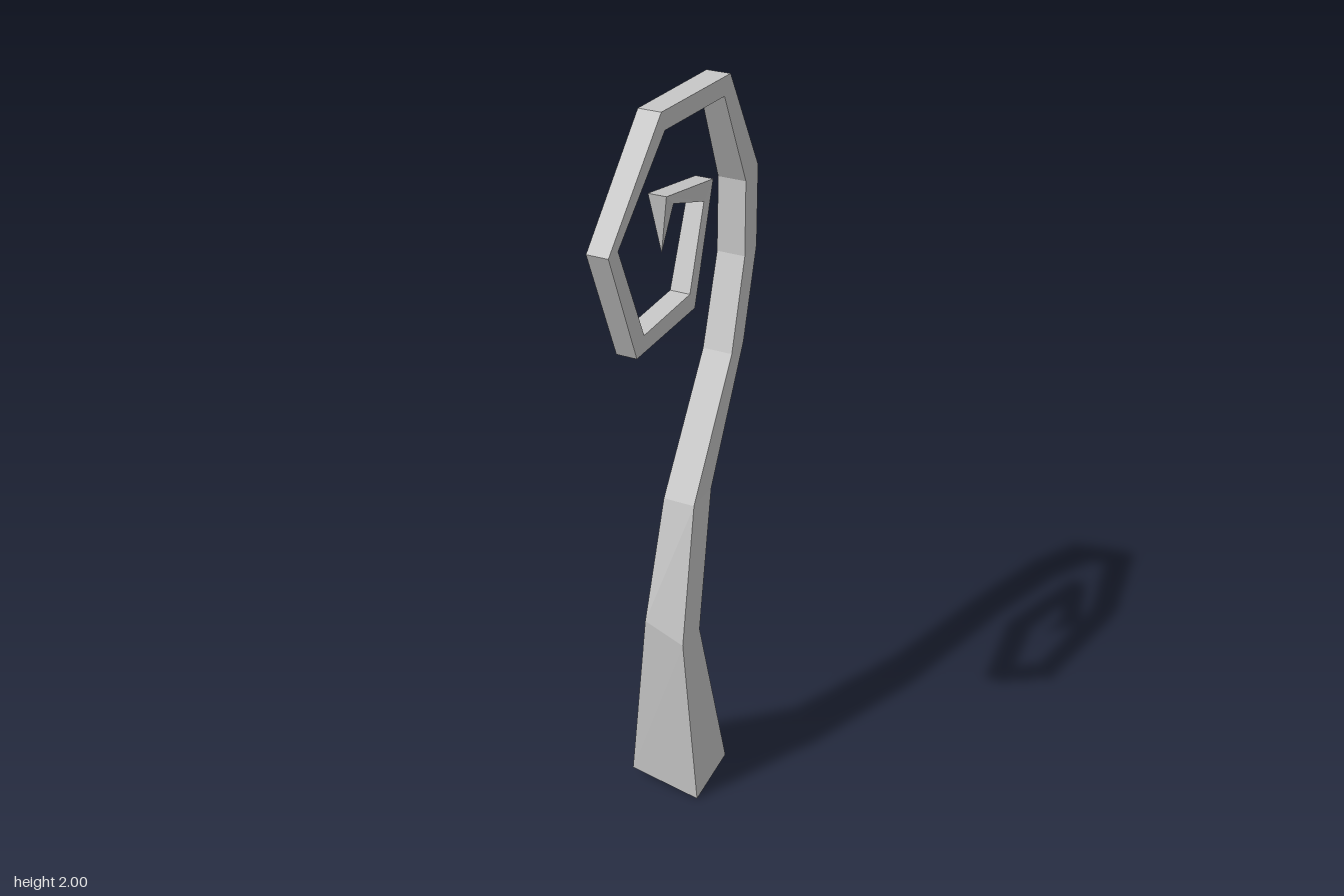
import * as THREE from 'three';

// Cross-sections from base to curl, lying in one tilted upright plane:
// [inner u, inner y, outer u, outer y, near side w, far side w, far side lift]
const RINGS = [
  [0.058, 0.0, -0.135, 0.0, 0.077, -0.12, 0.025],
  [0.080, 0.55, -0.024, 0.53, 0.043, -0.064, 0.03],
  [-0.006, 0.93, -0.110, 0.92, 0.033, -0.05, 0],
  [-0.225, 1.25, -0.298, 1.25, 0.033, -0.045, 0],
  [-0.305, 1.48, -0.378, 1.48, 0.028, -0.046, 0],
  [-0.305, 1.675, -0.378, 1.69, 0.026, -0.046, 0],
  [-0.180, 1.925, -0.212, 1.967, 0.022, -0.037, 0],
  [0.125, 1.955, 0.142, 2.0, 0.022, -0.032, 0],
  [0.345, 1.775, 0.388, 1.777, 0.021, -0.03, 0],
  [0.230, 1.525, 0.267, 1.485, 0.02, -0.03, 0],
  [-0.005, 1.515, -0.033, 1.467, 0.02, -0.03, 0],
  [-0.087, 1.71, -0.137, 1.745, 0.016, -0.028, 0],
  [0.085, 1.775, 0.120, 1.805, 0.022, -0.022, 0],
];
const TIP = [0.1, 1.66, 0];

// Plane coordinates (u along the curl, w across it) to model space
const place = (u, y, w) => [-0.43 * u + 0.9 * w, y, 0.9 * u + 0.43 * w];

function tendrilGeometry() {
  const rings = RINGS.map(([iu, iy, ou, oy, near, far, lift]) => [
    place(iu, iy, near),
    place(ou, oy, near),
    place(ou, oy + lift * 0.5, far),
    place(iu, iy + lift * 1.5, far),
  ]);
  const tip = place(...TIP);
  const positions = [];
  const tri = (a, b, c) => positions.push(...a, ...b, ...c);

  // Base cap
  const [a, b, c, d] = rings[0];
  tri(a, d, c);
  tri(a, c, b);

  // Four-sided walls
  for (let i = 0; i < rings.length - 1; i++) {
    const lo = rings[i], hi = rings[i + 1];
    for (let k = 0; k < 4; k++) {
      const n = (k + 1) % 4;
      tri(lo[k], lo[n], hi[n]);
      tri(lo[k], hi[n], hi[k]);
    }
  }

  // Pointed end
  const last = rings[rings.length - 1];
  for (let k = 0; k < 4; k++) tri(last[k], last[(k + 1) % 4], tip);

  const geometry = new THREE.BufferGeometry();
  geometry.setAttribute('position', new THREE.Float32BufferAttribute(positions, 3));
  geometry.computeVertexNormals();
  return geometry;
}

export function createModel() {
  const group = new THREE.Group();
  group.name = 'curledTendril';
  const material = new THREE.MeshStandardMaterial({ color: 0xcccccc, flatShading: true });
  const tendril = new THREE.Mesh(tendrilGeometry(), material);
  tendril.name = 'tendril';
  group.add(tendril);
  return group;
}
